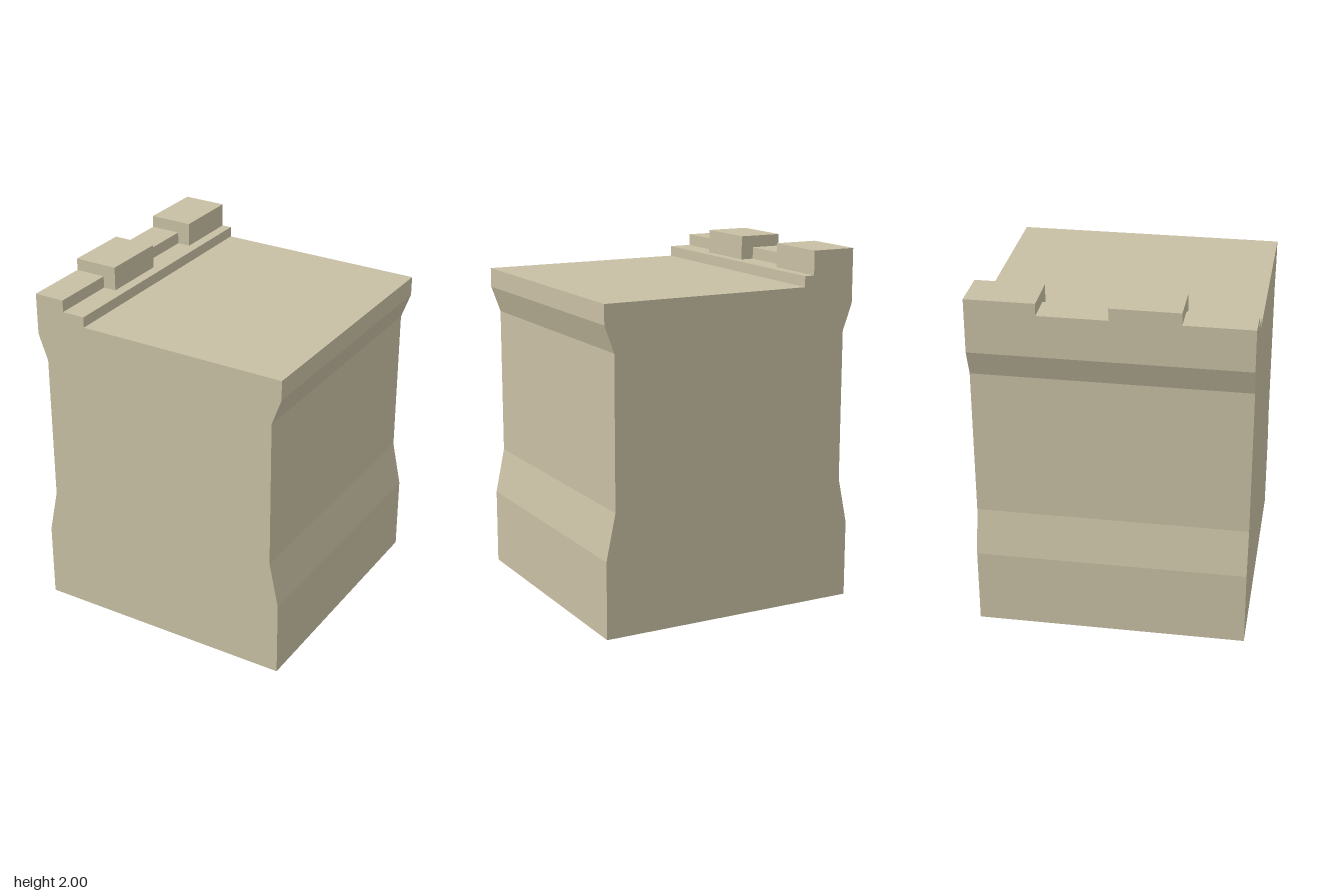
import * as THREE from 'three';

export function createModel() {
  const group = new THREE.Group();
  group.name = 'castleWallBlock';
  const stone = new THREE.MeshStandardMaterial({ color: 0xc8bfa3, flatShading: true });
  const half = 0.76;
  const roofY = 1.805, ledgeY = 1.865;

  const add = (name, geometry) => {
    const mesh = new THREE.Mesh(geometry, stone);
    mesh.name = name;
    group.add(mesh);
    return mesh;
  };

  // Wall body: a mirrored waisted profile, extruded from back to front
  const side = [[half, 0], [half, 0.435], [0.705, 0.695], [0.705, 1.545], [half, 1.695], [half, roofY]];
  const outline = [...side, ...side.map(([x, y]) => [-x, y]).reverse()];
  const shape = new THREE.Shape(outline.map(([x, y]) => new THREE.Vector2(x, y)));
  const body = new THREE.ExtrudeGeometry(shape, { depth: 2 * half, bevelEnabled: false });
  body.translate(0, 0, -half);
  add('wallBody', body);

  // Box that starts at the outer (-x) face of the wall
  const edgeBox = (name, innerX, y0, y1, z0, z1) => {
    const width = innerX + half;
    add(name, new THREE.BoxGeometry(width, y1 - y0, z1 - z0))
      .position.set(-half + width / 2, (y0 + y1) / 2, (z0 + z1) / 2);
  };

  // Ledge below the parapet
  edgeBox('ledge', -0.45, roofY, ledgeY, -half, half);

  // Parapet: tall merlons alternating with low crenels
  const step = half / 2;
  for (let i = 0; i < 4; i++) {
    const z0 = -half + i * step;
    if (i % 2 === 0) edgeBox('merlon', -0.507, ledgeY, 2, z0, z0 + step);
    else edgeBox('crenel', -0.583, ledgeY, 1.932, z0, z0 + step);
  }
  return group;
}
